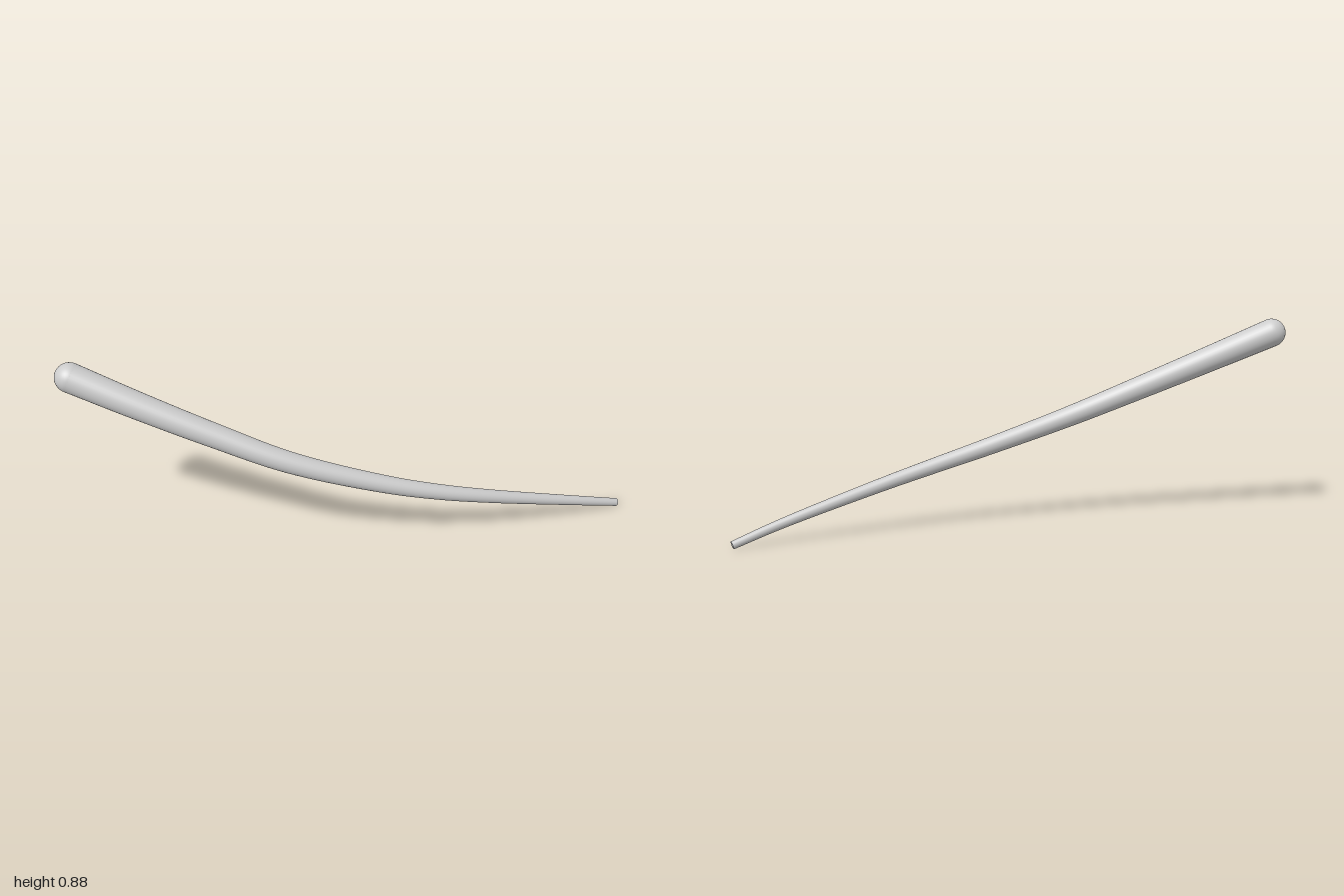
import * as THREE from 'three';

const R_THICK = 0.06, R_THIN = 0.017;

export function createModel() {
  const group = new THREE.Group();
  group.name = 'curvedTaperedRod';
  const material = new THREE.MeshStandardMaterial({ color: 0xcccccc });

  // Centre line, from the thick raised end to the thin low end
  const path = new THREE.CatmullRomCurve3([
    [-0.585, 0.823, 0.94], [-0.4, 0.71, 0.755], [-0.2, 0.588, 0.545],
    [0, 0.466, 0.32], [0.215, 0.335, 0], [0.325, 0.267, -0.2],
    [0.415, 0.205, -0.4], [0.565, 0.082, -0.8], [0.625, 0.017, -0.995],
  ].map((p) => new THREE.Vector3(...p)));

  // Shaft: unit tube whose rings are scaled about the centre line
  const rings = 64, sides = 32;
  const shaftGeo = new THREE.TubeGeometry(path, rings, 1, sides);
  const pos = shaftGeo.attributes.position;
  const v = new THREE.Vector3();
  for (let i = 0; i <= rings; i++) {
    const centre = path.getPointAt(i / rings);
    const radius = THREE.MathUtils.lerp(R_THICK, R_THIN, i / rings);
    for (let j = 0; j <= sides; j++) {
      const k = i * (sides + 1) + j;
      v.fromBufferAttribute(pos, k).sub(centre).multiplyScalar(radius).add(centre);
      pos.setXYZ(k, v.x, v.y, v.z);
    }
  }
  const shaft = new THREE.Mesh(shaftGeo, material);
  shaft.name = 'shaft';
  group.add(shaft);

  // Rounded thick end
  const knob = new THREE.Mesh(new THREE.SphereGeometry(R_THICK, 32, 24), material);
  knob.name = 'roundedEnd';
  knob.position.copy(path.getPointAt(0));
  group.add(knob);

  // Flat cap on the thin end
  const tip = new THREE.Mesh(new THREE.CircleGeometry(R_THIN, sides), material);
  tip.name = 'tipCap';
  tip.position.copy(path.getPointAt(1));
  tip.quaternion.setFromUnitVectors(new THREE.Vector3(0, 0, 1), path.getTangentAt(1));
  group.add(tip);

  return group;
}
